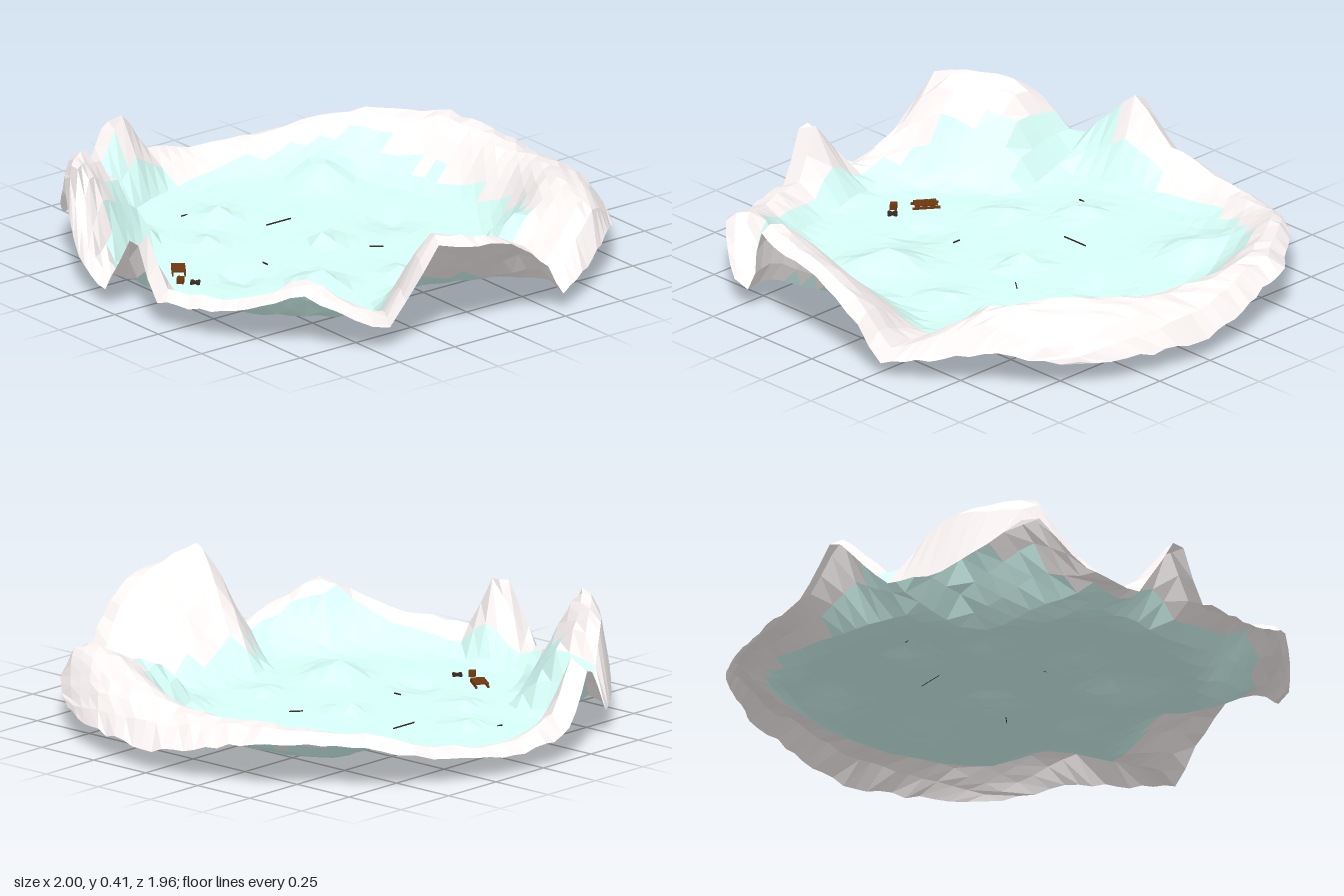
import * as THREE from 'three';

// Rim stations: angle (deg, 0 = +x, 90 = front), floor radius, ice radius,
// crest radius, crest height, outer edge height
const RIM = [
  [0, .50, .64, .94, .34, .33], [17, .50, .63, .95, .42, .39], [21, .54, .65, .94, .31, .26],
  [26, .62, .85, .90, .10, .07], [31, .70, .88, .95, .14, .10], [45, .72, .90, .93, .26, .22],
  [60, .74, .88, .93, .15, .12], [79, .78, .87, .95, .14, .10], [85, .78, .86, .96, .38, .33],
  [95, .75, .88, .93, .08, .06], [108, .75, .85, .93, .15, .12], [118, .68, .82, .93, .40, .32],
  [136, .60, .78, .90, .36, .10], [149, .78, .98, .95, .13, .07], [162, .78, .86, .95, .38, .30],
  [172, .78, .83, .94, .16, .09], [188, .76, .82, .93, .10, .07], [204, .70, .83, .93, .13, .09],
  [224, .68, .85, .92, .20, .16], [243, .62, .72, .90, .22, .17], [270, .56, .64, .78, .20, .08],
  [304, .54, .66, .76, .27, .10], [320, .50, .72, .87, .27, .15], [343, .58, .64, .90, .09, .06],
  [350, .54, .64, .93, .25, .22],
];
// Outline radius: angle, radius
const OUTLINE = [[0, .995], [15, 1.01], [20, 1.0], [25, .97], [31, 1.02], [43, 1.02], [60, .99],
  [90, .98], [150, .98], [178, 1.0], [200, .985], [236, .985], [243, 1.02], [250, .985], [330, .975]];
// Small mounds and dips in the ice: x, z, height, width
const MOUNDS = [[.28, .31, .07, .09], [.38, .40, .03, .06], [-.55, -.37, .07, .10], [.48, -.38, .10, .11],
  [-.5, .15, .04, .06], [-.05, 0, .05, .05], [-.1, -.33, -.03, .08], [.02, .45, -.03, .07], [.35, 0, .03, .06],
  [-.3, .35, .03, .06]];
const FLOOR = 0.025;

function sample(table, deg) {
  const n = table.length;
  let i = n - 1;
  while (i > 0 && table[i][0] > deg) i--;
  const a = table[i], b = table[(i + 1) % n];
  const t = (deg - a[0]) / ((b[0] - a[0] + 360) % 360);
  return a.slice(1).map((v, k) => v + (b[k + 1] - v) * t);
}
const degrees = (x, z) => (THREE.MathUtils.radToDeg(Math.atan2(z, x)) + 360) % 360;
const noise = (x, z) => {
  const s = Math.sin(x * 127.1 + z * 311.7) * 43758.5453;
  return (s - Math.floor(s)) * 2 - 1;
};

function height(x, z) {
  const deg = degrees(x, z), r = Math.hypot(x, z);
  const [rf, , rc, hc, he] = sample(RIM, deg);
  const [R] = sample(OUTLINE, deg);
  const bump = noise(x, z) * 0.008;
  if (r >= rc) {
    const t = Math.min(1, (r - rc) / Math.max(0.01, R - rc));
    return hc + (he - hc) * t ** 3 + bump;
  }
  const t = Math.max(0, (r - rf) / (rc - rf));
  let y = FLOOR + (hc - FLOOR) * (0.5 * t + 0.5 * t * t * (3 - 2 * t)) + bump * t;
  for (const [mx, mz, h, w] of MOUNDS) y += h * Math.exp(-((x - mx) ** 2 + (z - mz) ** 2) / (w * w));
  return Math.max(0, y);
}

// Square grid rounded to the outline and raised by the height rule
function terrain() {
  const N = 30, turn = -0.25;
  const point = (i, j) => {
    const u = i / N * 2 - 1, v = j / N * 2 - 1;
    const a = u * Math.sqrt(1 - v * v / 2), b = v * Math.sqrt(1 - u * u / 2);
    let x = a * Math.cos(turn) - b * Math.sin(turn), z = a * Math.sin(turn) + b * Math.cos(turn);
    const [R] = sample(OUTLINE, degrees(x, z));
    x *= R; z *= R;
    return [x, height(x, z), z];
  };
  const ice = [], snow = [];
  for (let i = 0; i < N; i++) for (let j = 0; j < N; j++) {
    const a = point(i, j), b = point(i, j + 1), c = point(i + 1, j + 1), d = point(i + 1, j);
    const x = (a[0] + c[0]) / 2, z = (a[2] + c[2]) / 2;
    const iceRadius = sample(RIM, degrees(x, z))[1];
    (Math.hypot(x, z) < iceRadius ? ice : snow).push(...a, ...b, ...c, ...a, ...c, ...d);
  }
  return { ice, snow };
}

function sheet(name, positions, color) {
  const g = new THREE.BufferGeometry();
  g.setAttribute('position', new THREE.Float32BufferAttribute(positions, 3));
  g.computeVertexNormals();
  const mesh = new THREE.Mesh(g, new THREE.MeshStandardMaterial({ color, flatShading: true, side: THREE.DoubleSide }));
  mesh.name = name;
  return mesh;
}

export function createModel() {
  const model = new THREE.Group();
  model.name = 'frozenLake';
  const { ice, snow } = terrain();
  model.add(sheet('iceFloor', ice, 0xd8fff9), sheet('snowRim', snow, 0xfdf7f6));

  const wood = new THREE.MeshStandardMaterial({ color: 0x70380f });
  const dark = new THREE.MeshStandardMaterial({ color: 0x3a2a24 });
  const box = (parent, name, size, pos, mat = wood, ry = 0) => {
    const m = new THREE.Mesh(new THREE.BoxGeometry(...size), mat);
    m.position.set(...pos);
    m.rotation.y = ry;
    m.name = name;
    parent.add(m);
  };

  // Sledge: two runners with cross slats
  const sledge = new THREE.Group();
  sledge.name = 'sledge';
  for (const s of [-1, 1]) box(sledge, 'runner', [.1, .008, .006], [0, .004, s * .022]);
  for (let i = 0; i < 6; i++) box(sledge, 'slat', [.013, .005, .05], [-.035 + i * .014, .014, 0]);
  for (const sx of [-1, 1]) for (const sz of [-1, 1]) box(sledge, 'post', [.005, .01, .005], [sx * .03, .01, sz * .022]);
  sledge.position.set(-.15, FLOOR, .595);
  sledge.rotation.y = -.62;
  model.add(sledge);

  // Crate and crossed logs beside it
  box(model, 'crate', [.025, .022, .025], [-.055, FLOOR + .011, .66], wood, .7);
  for (const r of [0, Math.PI / 2]) box(model, 'crossedLog', [.042, .009, .009], [-.015, FLOOR + .006, .625], dark, r);

  // Slender twigs on the ice: x, z, length, turn
  for (const [x, z, len, turn] of [[-.32, .01, .11, 1.57], [.09, -.11, .05, .9], [-.02, .305, .03, 0], [-.575, .235, .025, 1.5]])
    box(model, 'twig', [len, .005, .003], [x, height(x, z) + .002, z], dark, turn);
  return model;
}
